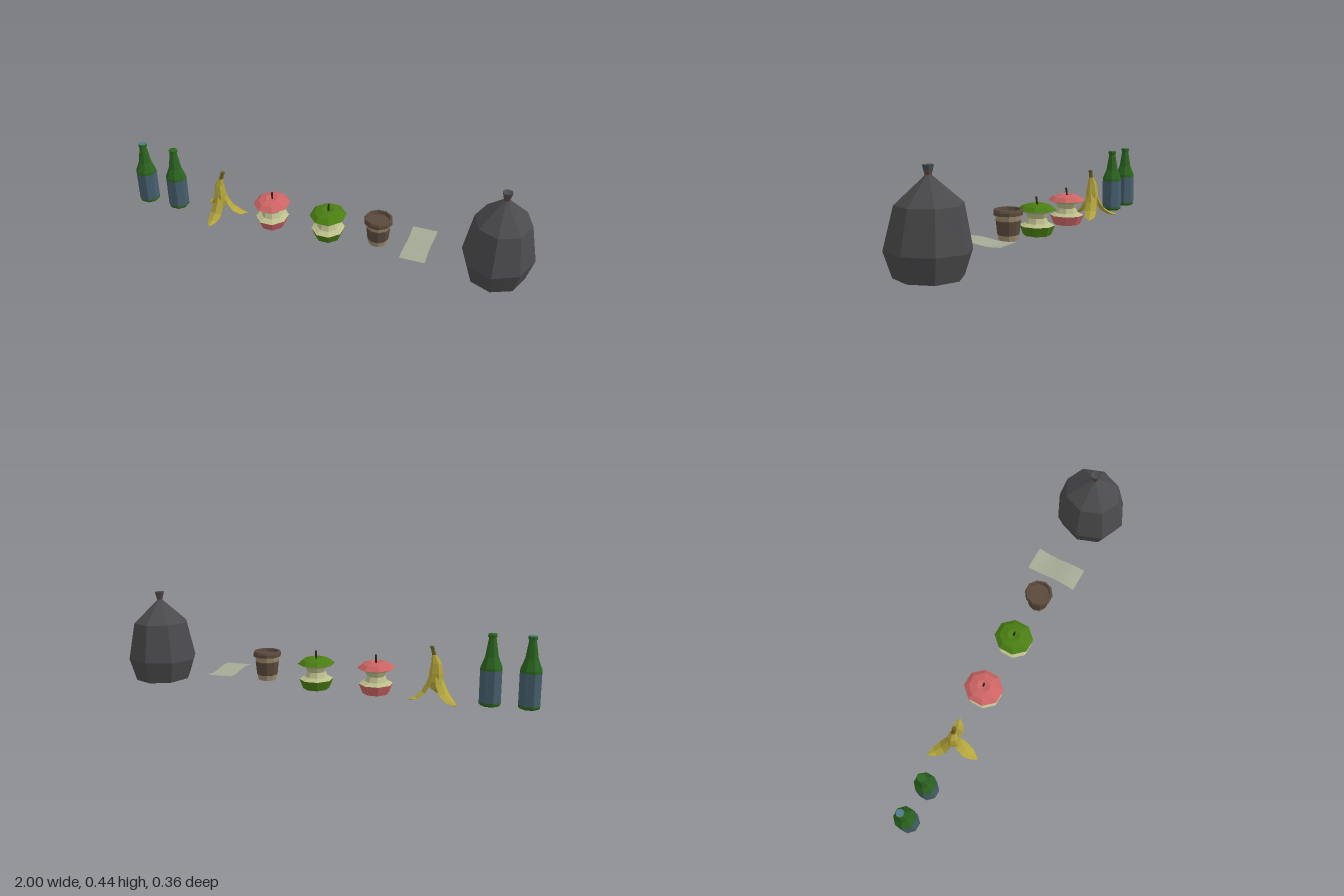
import * as THREE from 'three';

const mat = (color) => new THREE.MeshStandardMaterial({ color, flatShading: true, side: THREE.DoubleSide });
const M = {
  glass: mat(0x2c6420), label: mat(0x465f6c), cap: mat(0x4f7a90), peel: mat(0xb5a63c), stalk: mat(0x6b5f22),
  red: mat(0xcd6464), green: mat(0x4a7d12), flesh: mat(0xbcbd8c), wood: mat(0x33251a),
  cup: mat(0x5a4a3c), band: mat(0x9a8a6c), paper: mat(0xa3aa94), bag: mat(0x4b4b4d), tie: mat(0x8a4a3a),
};

function add(parent, name, geometry, material) {
  const mesh = new THREE.Mesh(geometry, material);
  mesh.name = name;
  parent.add(mesh);
  return mesh;
}

function group(parent, name, x, y = 0, z = 0) {
  const g = new THREE.Group();
  g.name = name;
  g.position.set(x, y, z);
  parent.add(g);
  return g;
}

// Faceted solid of revolution from [radius, height] pairs, listed bottom to top
function lathe(points, sides, turned = true) {
  const g = new THREE.LatheGeometry(points.map(([r, y]) => new THREE.Vector2(r, y)), sides);
  return turned ? g.rotateY(Math.PI / sides) : g;
}

function bottle(root, name, x, topMaterial) {
  const g = group(root, name, x);
  add(g, 'bottleBase', lathe([[0, 0.008], [0.042, 0.004], [0.051, 0.012], [0.051, 0.022]], 8), M.glass);
  add(g, 'bottleLabel', lathe([[0.051, 0.022], [0.051, 0.168]], 8), M.label);
  add(g, 'bottleNeck', lathe([[0.051, 0.168], [0.05, 0.18], [0.031, 0.227], [0.018, 0.305], [0.017, 0.314],
    [0.021, 0.316], [0.021, 0.327], [0.018, 0.33]], 8), M.glass);
  add(g, 'bottleTop', lathe([[0.018, 0.33], [0, 0.33]], 8), topMaterial);
}

// Diamond-section strip through [distance, height, half width, half thickness]
function peelStrip(path) {
  const pos = [], index = [];
  path.forEach(([d, y, w, t], i) => {
    const a = path[Math.max(i - 1, 0)], b = path[Math.min(i + 1, path.length - 1)];
    const len = Math.hypot(b[0] - a[0], b[1] - a[1]);
    const nx = -(b[1] - a[1]) / len * t, ny = (b[0] - a[0]) / len * t;
    pos.push(d + nx, y + ny, 0, d, y, w, d - nx, y - ny, 0, d, y, -w);
    if (i === 0) return;
    for (let k = 0; k < 4; k++) {
      const p = (i - 1) * 4 + k, q = (i - 1) * 4 + (k + 1) % 4;
      index.push(p, q, q + 4, p, q + 4, p + 4);
    }
  });
  const geo = new THREE.BufferGeometry();
  geo.setAttribute('position', new THREE.Float32BufferAttribute(pos, 3));
  geo.setIndex(index);
  geo.computeVertexNormals();
  return geo;
}

function banana(root) {
  const g = group(root, 'bananaPeel', -0.535);
  // Leaning upright part
  const lean = (geo) => {
    const p = geo.attributes.position;
    for (let i = 0; i < p.count; i++) p.setX(i, p.getX(i) + 0.3 * Math.max(0, p.getY(i) - 0.18) - 0.004);
    return geo;
  };
  add(g, 'bananaBody', lean(lathe([[0, 0.055], [0.026, 0.06], [0.034, 0.095], [0.032, 0.135], [0.024, 0.18],
    [0.011, 0.218]], 6)), M.peel);
  add(g, 'bananaStalk', lean(lathe([[0.011, 0.218], [0.008, 0.238], [0.011, 0.256], [0, 0.257]], 6)), M.stalk);
  // Three strips draped on the ground
  [[-0.112, -0.09], [0.115, -0.045], [-0.015, 0.128]].forEach(([x, z], i) => {
    const strip = add(g, 'peelStrip' + (i + 1), peelStrip([[0.012, 0.135, 0.016, 0.012], [0.03, 0.085, 0.028, 0.012],
      [0.055, 0.043, 0.031, 0.01], [0.09, 0.018, 0.025, 0.008], [0.125, 0.01, 0.003, 0.003]]), M.peel);
    strip.rotation.y = Math.atan2(-z, x);
    strip.scale.x = Math.hypot(x, z) / 0.125;
  });
}

function appleCore(root, name, x, skin) {
  const g = group(root, name, x);
  add(g, 'appleBottom', lathe([[0, 0.03], [0.03, 0.02], [0.062, 0.018], [0.08, 0.064]], 8), skin);
  add(g, 'appleFlesh', lathe([[0.08, 0.064], [0.053, 0.076], [0.042, 0.1], [0.053, 0.124], [0.088, 0.138]], 8), M.flesh);
  add(g, 'appleCap', lathe([[0.088, 0.138], [0.066, 0.157], [0.03, 0.168], [0, 0.158]], 8), skin);
  const stem = add(g, 'appleStem', new THREE.CylinderGeometry(0.005, 0.004, 0.045, 5), M.wood);
  stem.position.set(0.002, 0.177, 0);
  stem.rotation.set(0.1, 0, -0.08);
  g.scale.z = 1.08;
}

function cup(root) {
  const g = group(root, 'paperCup', 0.278);
  add(g, 'cupBottom', lathe([[0, 0.05], [0.042, 0.05], [0.045, 0.043], [0.048, 0.068]], 10), M.band);
  add(g, 'cupSleeve', lathe([[0.048, 0.068], [0.051, 0.07], [0.058, 0.132], [0.056, 0.134]], 10), M.cup);
  add(g, 'cupUpperBand', lathe([[0.056, 0.134], [0.059, 0.156]], 10), M.band);
  add(g, 'cupLid', lathe([[0.059, 0.156], [0.068, 0.158], [0.068, 0.172], [0.063, 0.182], [0.055, 0.182],
    [0.051, 0.166], [0, 0.166]], 10), M.cup);
}

function paper(root) {
  const geo = new THREE.PlaneGeometry(0.12, 0.255, 2, 8).rotateX(-Math.PI / 2);
  const p = geo.attributes.position;
  for (let i = 0; i < p.count; i++) {
    const z = p.getZ(i);
    p.setX(i, p.getX(i) * (0.94 + 0.06 * Math.abs(z) / 0.127));
    p.setY(i, 0.005 * Math.sin(z * 25));
  }
  geo.computeVertexNormals();
  add(group(root, 'paperSheet', 0.475, 0.076, -0.003), 'sheet', geo, M.paper);
}

function bag(root) {
  const g = group(root, 'garbageBag', 0.838);
  const body = lathe([[0, 0.012], [0.145, 0.012], [0.18, 0.117], [0.14, 0.296], [0.014, 0.405]], 8, false);
  // Slight slump toward the back and uneven folds
  const p = body.attributes.position;
  for (let i = 0; i < p.count; i++) {
    const x = p.getX(i), y = p.getY(i), z = p.getZ(i);
    if (y > 0.05) p.setY(i, y - 0.02 * z + 0.03 * x * (y < 0.2 ? 1 : 0));
    p.setXYZ(i, x * 0.91, p.getY(i), z - (y > 0.2 ? 0.009 : 0));
  }
  body.computeVertexNormals();
  add(g, 'bagBody', body, M.bag);
  const knot = group(g, 'bagKnot', 0, 0, -0.008);
  add(knot, 'bagTie', lathe([[0.0145, 0.402], [0.0145, 0.408]], 8, false), M.tie);
  add(knot, 'bagGather', lathe([[0.013, 0.405], [0.023, 0.445], [0.008, 0.438], [0, 0.436]], 8, false), M.bag);
}

export function createModel() {
  const root = new THREE.Group();
  root.name = 'litterSet';
  bottle(root, 'bottleWithCap', -0.953, M.cap);
  bottle(root, 'bottleOpen', -0.782, M.glass);
  banana(root);
  appleCore(root, 'redAppleCore', -0.26, M.red);
  appleCore(root, 'greenAppleCore', 0.03, M.green);
  cup(root);
  paper(root);
  bag(root);
  return root;
}
